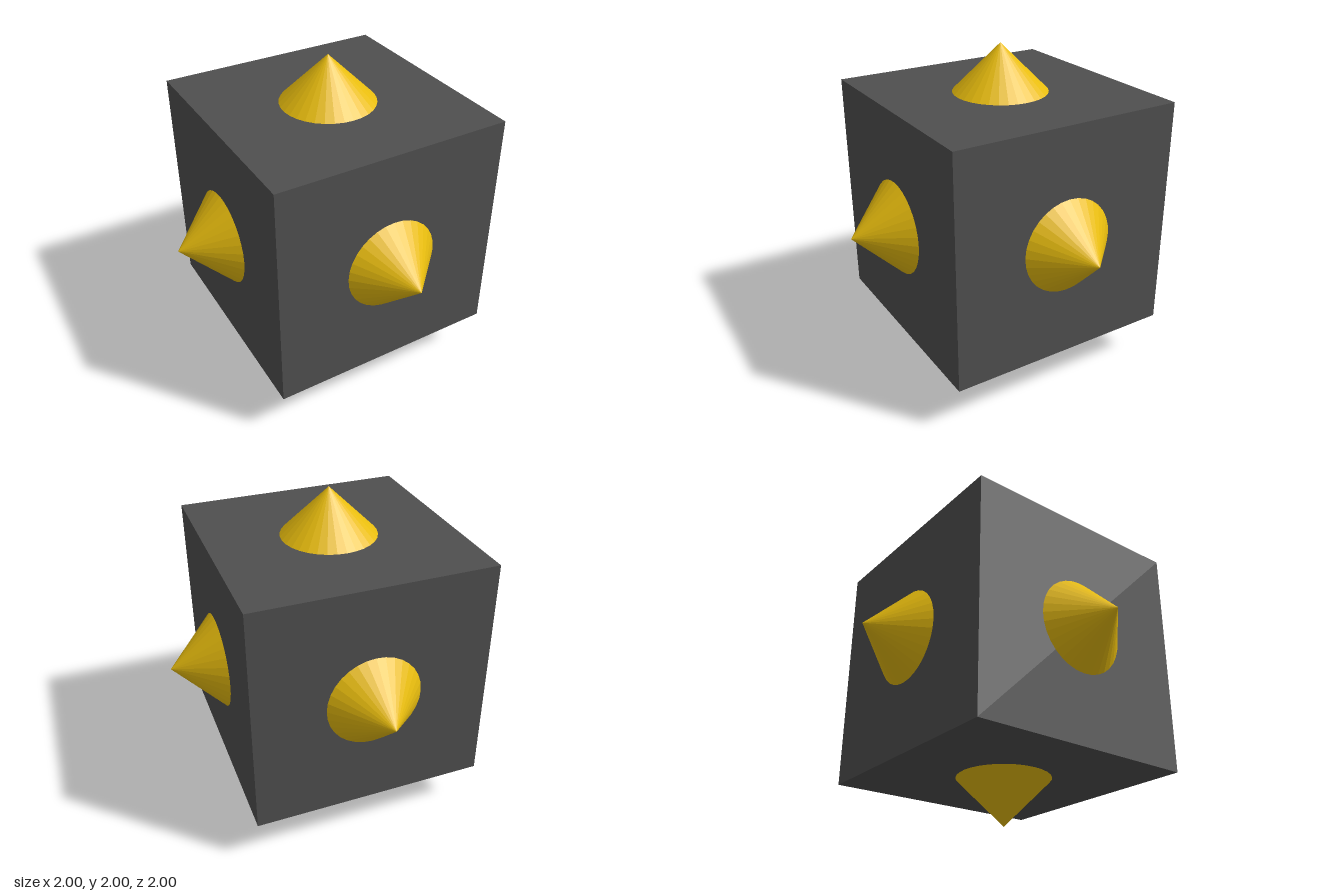
import * as THREE from 'three';

export function createModel() {
  const model = new THREE.Group();
  model.name = 'spikedCube';

  const darkGrey = new THREE.MeshStandardMaterial({ color: 0x4f4f4f });
  darkGrey.name = 'dark grey';
  const gold = new THREE.MeshStandardMaterial({ color: 0xf1c40f });
  gold.name = 'gold';
  gold.flatShading = true;

  const half = 0.714;        // half the cube's edge
  const spike = 1 - half;    // spike height and base radius

  // Cube body
  const body = new THREE.Mesh(new THREE.BoxGeometry(2 * half, 2 * half, 2 * half), darkGrey);
  body.name = 'cubeBody';
  body.position.y = 1;
  model.add(body);

  // One open cone, base on the cube face, tip pointing outwards
  const coneGeometry = new THREE.ConeGeometry(spike, spike, 32, 1, true);
  const up = new THREE.Vector3(0, 1, 0);
  const directions = {
    topSpike: [0, 1, 0],
    bottomSpike: [0, -1, 0],
    leftSpike: [1, 0, 0],
    rightSpike: [-1, 0, 0],
    frontSpike: [0, 0, 1],
    backSpike: [0, 0, -1],
  };
  for (const [name, d] of Object.entries(directions)) {
    const dir = new THREE.Vector3(...d);
    const cone = new THREE.Mesh(coneGeometry, gold);
    cone.name = name;
    cone.quaternion.setFromUnitVectors(up, dir);
    cone.position.copy(dir).multiplyScalar(half + spike / 2);
    cone.position.y += 1;
    model.add(cone);
  }

  return model;
}
